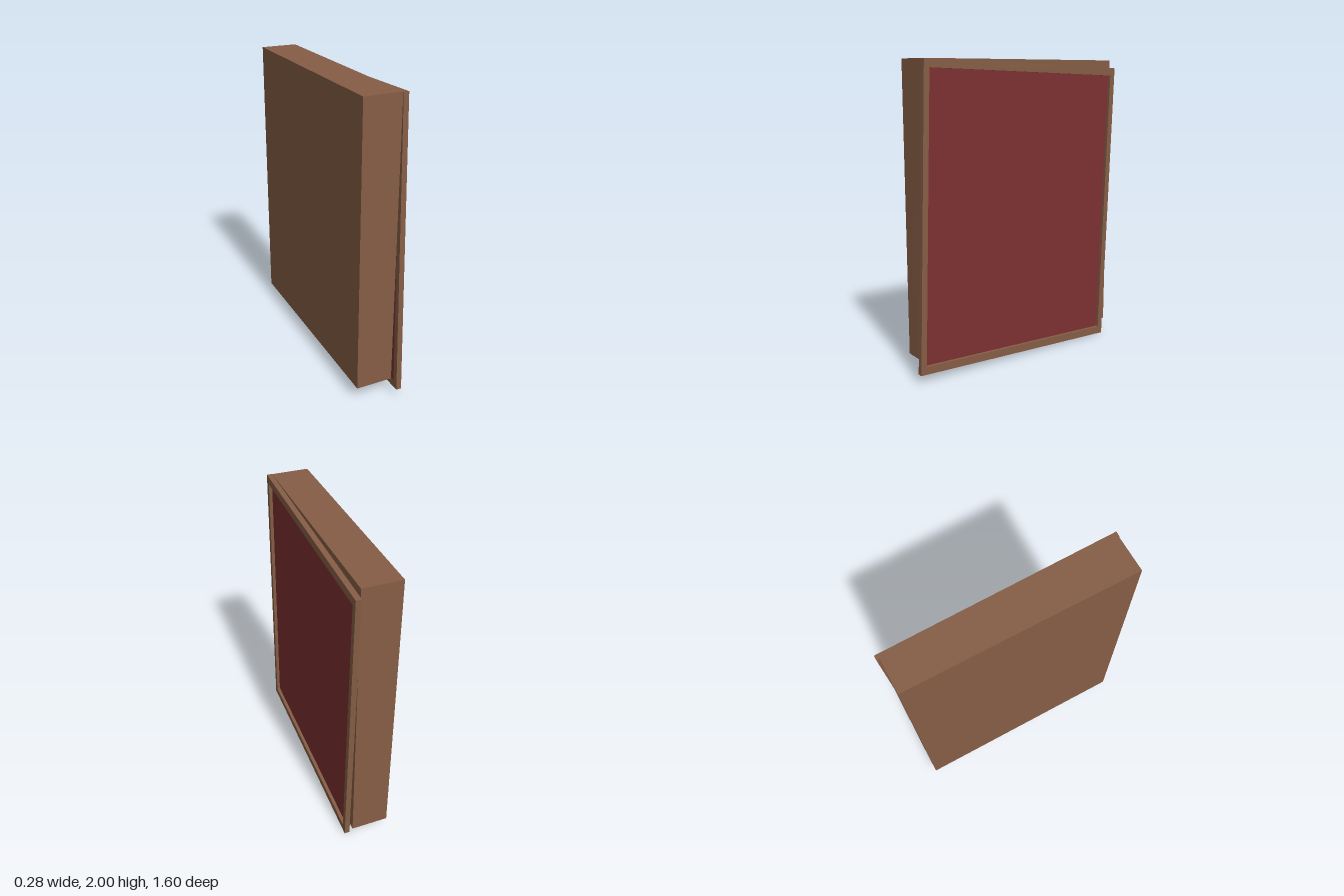
import * as THREE from 'three';

export function createModel() {
  const model = new THREE.Group();
  const brown = new THREE.MeshStandardMaterial({ name: 'brown wood', color: 0x855d45 });
  const red = new THREE.MeshStandardMaterial({ name: 'dark red', color: 0x7d2f31 });

  const addBox = (parent, name, material, size, position) => {
    const mesh = new THREE.Mesh(new THREE.BoxGeometry(...size), material);
    mesh.name = name;
    mesh.position.set(...position);
    parent.add(mesh);
  };

  // Solid upright body behind the panel
  addBox(model, 'body', brown, [0.248, 1.905, 1.513], [-0.019, 1.0475, -0.0275]);

  // Slightly crooked framed panel on the left side
  const panel = new THREE.Group();
  panel.name = 'framedPanel';
  panel.position.set(0.105, 1, 0);
  panel.rotation.x = -0.035;
  model.add(panel);

  // Frame with a rectangular opening
  const W = 1.536, H = 1.946, w = 1.46, h = 1.842, depth = 0.035;
  const rect = (Type, a, b) => new Type([
    new THREE.Vector2(-a / 2, -b / 2), new THREE.Vector2(a / 2, -b / 2),
    new THREE.Vector2(a / 2, b / 2), new THREE.Vector2(-a / 2, b / 2),
  ]);
  const outline = rect(THREE.Shape, W, H);
  outline.holes.push(rect(THREE.Path, w, h));
  const frameGeometry = new THREE.ExtrudeGeometry(outline, { depth, bevelEnabled: false });
  frameGeometry.rotateY(Math.PI / 2);
  const frame = new THREE.Mesh(frameGeometry, brown);
  frame.name = 'frame';
  panel.add(frame);

  // Recessed red board inside the frame
  addBox(panel, 'board', red, [0.012, h, w], [0.007, 0, 0]);

  return model;
}
